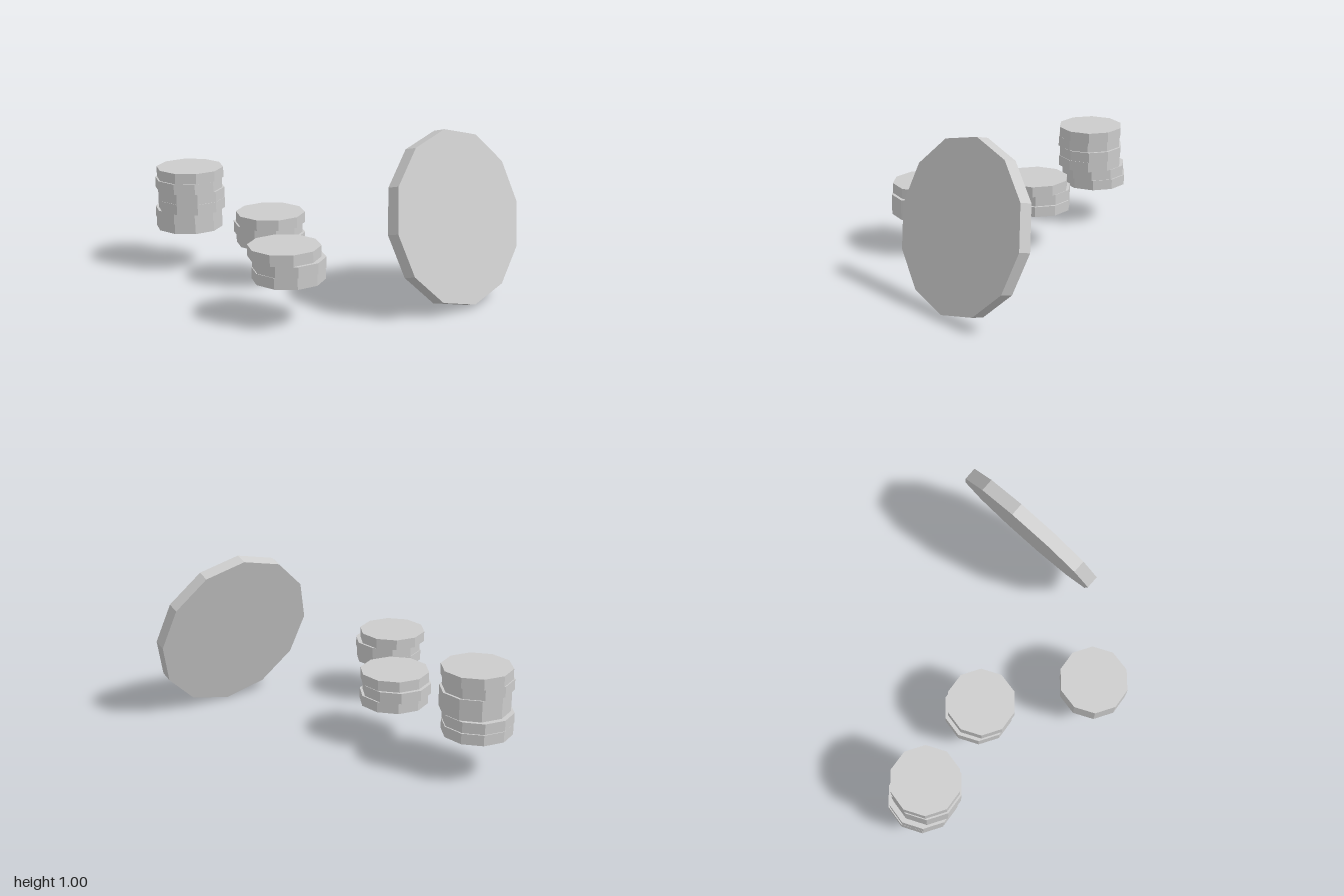
import * as THREE from 'three';

const metal = new THREE.MeshStandardMaterial({ color: 0xcccccc, flatShading: true });
metal.name = 'pale grey';

const COIN_RADIUS = 0.205;
const COIN_HEIGHT = 0.064;
const STACK_BASE = 0.25;

// Slightly shuffled [x, z] centres of each coin, bottom to top
const stacks = {
  tallStack: [[-0.8, -0.608], [-0.805, -0.6], [-0.79, -0.572], [-0.79, -0.576], [-0.805, -0.572], [-0.795, -0.576]],
  middleStack: [[-0.395, -0.13], [-0.41, -0.135], [-0.4, -0.115]],
  frontStack: [[-0.46, 0.57], [-0.455, 0.57], [-0.48, 0.558]],
};

function buildStack(name, centres) {
  const stack = new THREE.Group();
  stack.name = name;
  const geometry = new THREE.CylinderGeometry(COIN_RADIUS, COIN_RADIUS, COIN_HEIGHT, 10);
  centres.forEach(([x, z], i) => {
    const coin = new THREE.Mesh(geometry, metal);
    coin.name = `coin${i + 1}`;
    coin.position.set(x, STACK_BASE + (i + 0.5) * COIN_HEIGHT, z);
    stack.add(coin);
  });
  return stack;
}

// Large twelve-sided coin standing on its rim, leaning back and turned to its left
function buildLargeCoin() {
  const thickness = 0.08;
  const coin = new THREE.Mesh(new THREE.CylinderGeometry(0.507, 0.507, thickness, 12), metal);
  coin.name = 'largeCoin';
  const normal = new THREE.Vector3(0.458, 0.265, 0.848).normalize();
  const side = new THREE.Vector3().crossVectors(normal, new THREE.Vector3(-0.06, 0.488, -0.12)).normalize();
  const rimTop = new THREE.Vector3().crossVectors(side, normal);
  coin.quaternion.setFromRotationMatrix(new THREE.Matrix4().makeBasis(side, normal, rimTop));
  coin.position.set(0.55, 0.512, 0.54).addScaledVector(normal, -thickness / 2);
  return coin;
}

export function createModel() {
  const model = new THREE.Group();
  model.name = 'coinPile';
  for (const [name, centres] of Object.entries(stacks)) model.add(buildStack(name, centres));
  model.add(buildLargeCoin());
  return model;
}
